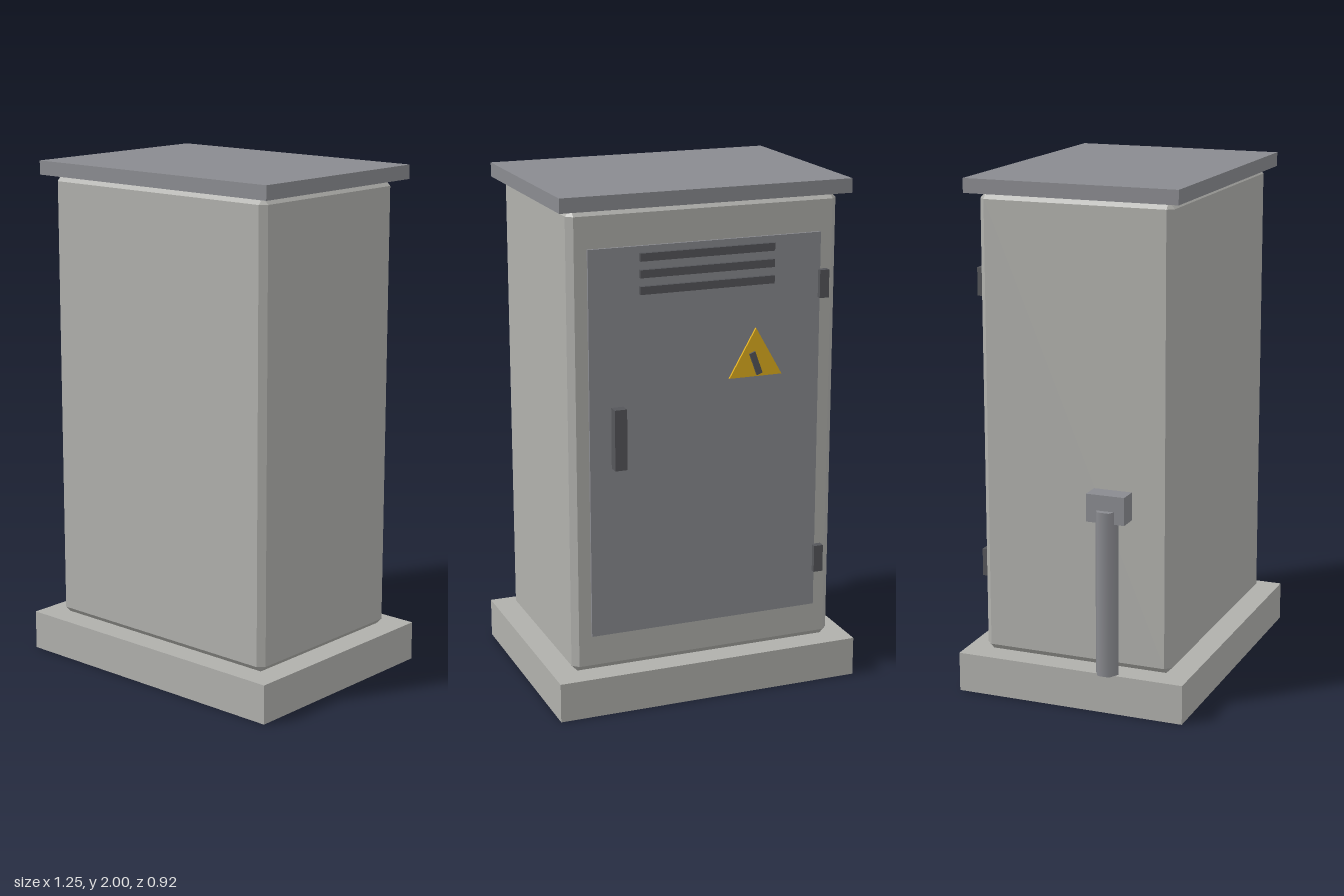
import * as THREE from 'three';
import { ConvexGeometry } from 'three/addons/geometries/ConvexGeometry.js';

const material = (name, color) => {
  const m = new THREE.MeshStandardMaterial({ color });
  m.name = name;
  return m;
};

// Box with every edge cut at 45 degrees
function chamferedBox(w, h, d, c) {
  const points = [];
  for (const sx of [-1, 1]) for (const sy of [-1, 1]) for (const sz of [-1, 1]) {
    const x = sx * w / 2, y = sy * h / 2, z = sz * d / 2;
    points.push(
      new THREE.Vector3(x, y - sy * c, z - sz * c),
      new THREE.Vector3(x - sx * c, y, z - sz * c),
      new THREE.Vector3(x - sx * c, y - sy * c, z));
  }
  return new ConvexGeometry(points);
}

export function createModel() {
  const model = new THREE.Group();
  model.name = 'electricalCabinet';
  const paleGrey = material('pale grey', 0xb0b0ac);
  const steelGrey = material('steel grey', 0x8a8b90);
  const darkGrey = material('dark grey', 0x55565a);
  const yellow = material('warning yellow', 0xe2b01e);

  const add = (name, geometry, mat, x, y, z) => {
    const mesh = new THREE.Mesh(geometry, mat);
    mesh.name = name;
    mesh.position.set(x, y, z);
    model.add(mesh);
    return mesh;
  };
  // Box given by its limits on each axis
  const box = (name, mat, [x0, x1], [y0, y1], [z0, z1]) =>
    add(name, new THREE.BoxGeometry(x1 - x0, y1 - y0, z1 - z0), mat,
      (x0 + x1) / 2, (y0 + y1) / 2, (z0 + z1) / 2);

  // Plinth, chamfered housing and overhanging roof
  box('plinth', paleGrey, [-0.605, 0.625], [0, 0.155], [-0.46, 0.46]);
  add('housing', chamferedBox(1.075, 1.79, 0.766, 0.024), paleGrey, 0.009, 1.05, 0.001);
  box('roof', steelGrey, [-0.566, 0.588], [1.945, 2], [-0.423, 0.42]);

  // Door on the rear face with its fittings
  box('door', steelGrey, [-0.455, 0.473], [0.3, 1.8], [-0.392, -0.37]);
  for (const y of [1.76, 1.698, 1.636])
    box('ventSlat', darkGrey, [-0.26, 0.276], [y - 0.015, y + 0.015], [-0.408, -0.385]);
  for (const y of [1.602, 0.495])
    box('hinge', darkGrey, [-0.485, -0.447], [y - 0.054, y + 0.054], [-0.41, -0.375]);
  box('handle', darkGrey, [0.34, 0.388], [0.965, 1.2], [-0.432, -0.385]);

  // Triangular warning plate with a slanted bar
  const plate = new THREE.Shape([
    new THREE.Vector2(-0.107, 0), new THREE.Vector2(0.107, 0), new THREE.Vector2(0, 0.187)]);
  add('warningPlate', new THREE.ExtrudeGeometry(plate, { depth: 0.009, bevelEnabled: false }),
    yellow, -0.19, 1.266, -0.401);
  const bar = add('warningBar', new THREE.BoxGeometry(0.024, 0.09, 0.009), darkGrey,
    -0.188, 1.318, -0.405);
  bar.rotation.z = -0.35;

  // Cable conduit and its entry box on the right side
  const conduit = add('conduit', new THREE.CylinderGeometry(0.046, 0.046, 0.645, 6), steelGrey,
    -0.588, 0.4775, 0.153);
  conduit.rotation.y = Math.PI;
  box('conduitEntry', steelGrey, [-0.605, -0.52], [0.752, 0.86], [0.077, 0.229]);

  return model;
}
